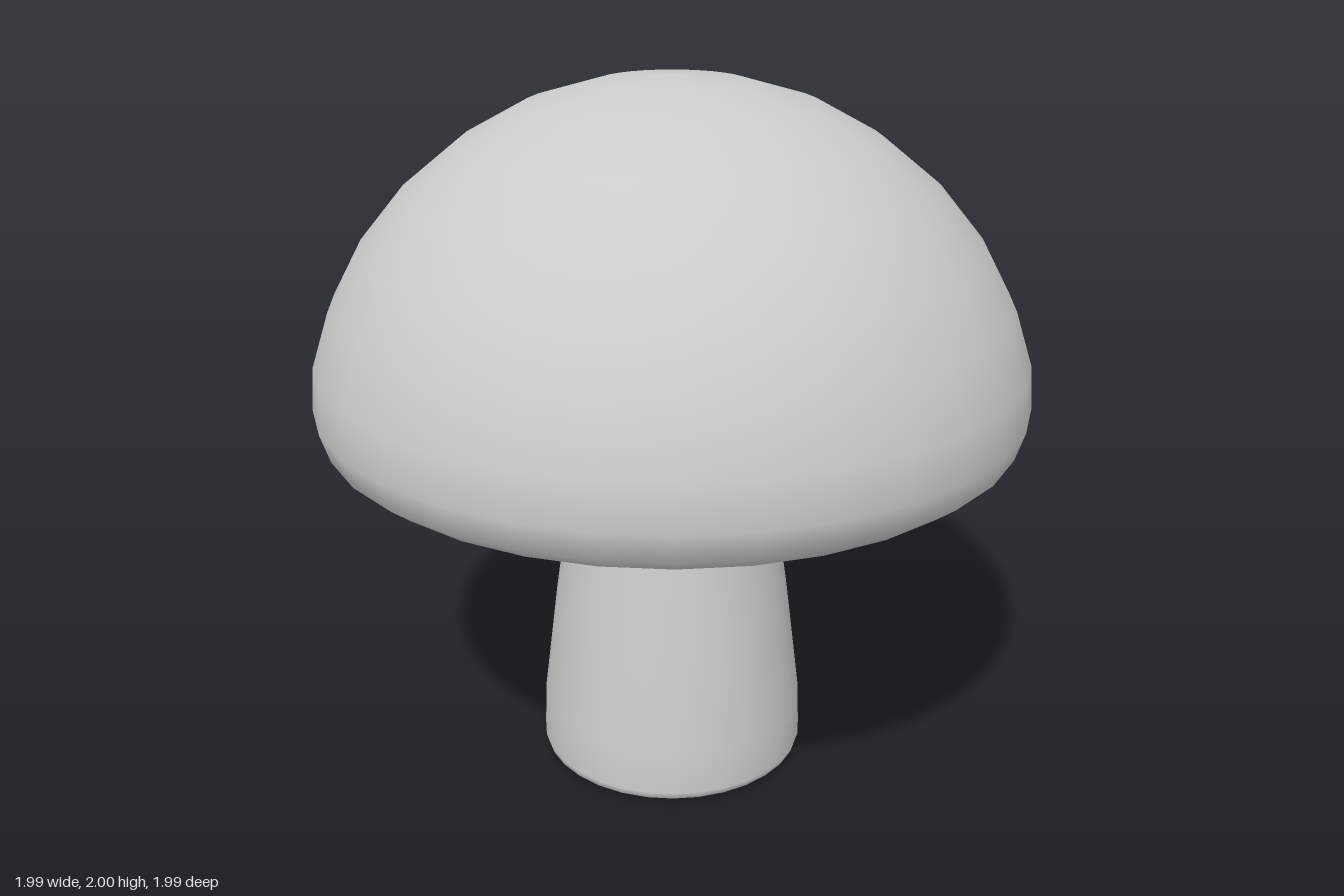
import * as THREE from 'three';

const SEGMENTS = 32;
const material = new THREE.MeshStandardMaterial({ color: 0xcccccc });

// Smooth turned part; the profile runs from the bottom up as [radius, y]
function turned(name, profile) {
  const points = profile.map(([r, y]) => new THREE.Vector2(r, y));
  const mesh = new THREE.Mesh(new THREE.LatheGeometry(points, SEGMENTS), material);
  mesh.name = name;
  return mesh;
}

export function createModel() {
  const group = new THREE.Group();
  group.name = 'mushroom';

  // Cap: hollow underside, rounded rim, then the dome
  group.add(turned('cap', [
    [0, 1.19], [0.29, 1.18], [0.48, 1.165], [0.62, 1.13], [0.73, 1.075], [0.81, 1.02],
    [0.87, 1.0], [0.915, 1.007], [0.97, 1.05], [0.995, 1.13],
    [0.985, 1.25], [0.935, 1.4], [0.85, 1.555], [0.725, 1.705], [0.57, 1.83],
    [0.395, 1.925], [0.2, 1.982], [0, 2.0],
  ]));

  // Stem: wide foot, narrow neck, slight flare into the cap
  group.add(turned('stem', [
    [0.37, 0], [0.384, 0.01], [0.39, 0.03], [0.385, 0.16], [0.342, 0.5],
    [0.298, 0.8], [0.288, 0.88], [0.282, 1.0], [0.285, 1.1], [0.293, 1.2],
  ]));

  // Flat sole with a sharp edge
  const sole = new THREE.Mesh(new THREE.CircleGeometry(0.37, SEGMENTS), material);
  sole.name = 'stemBase';
  sole.rotation.x = Math.PI / 2;
  group.add(sole);

  return group;
}
